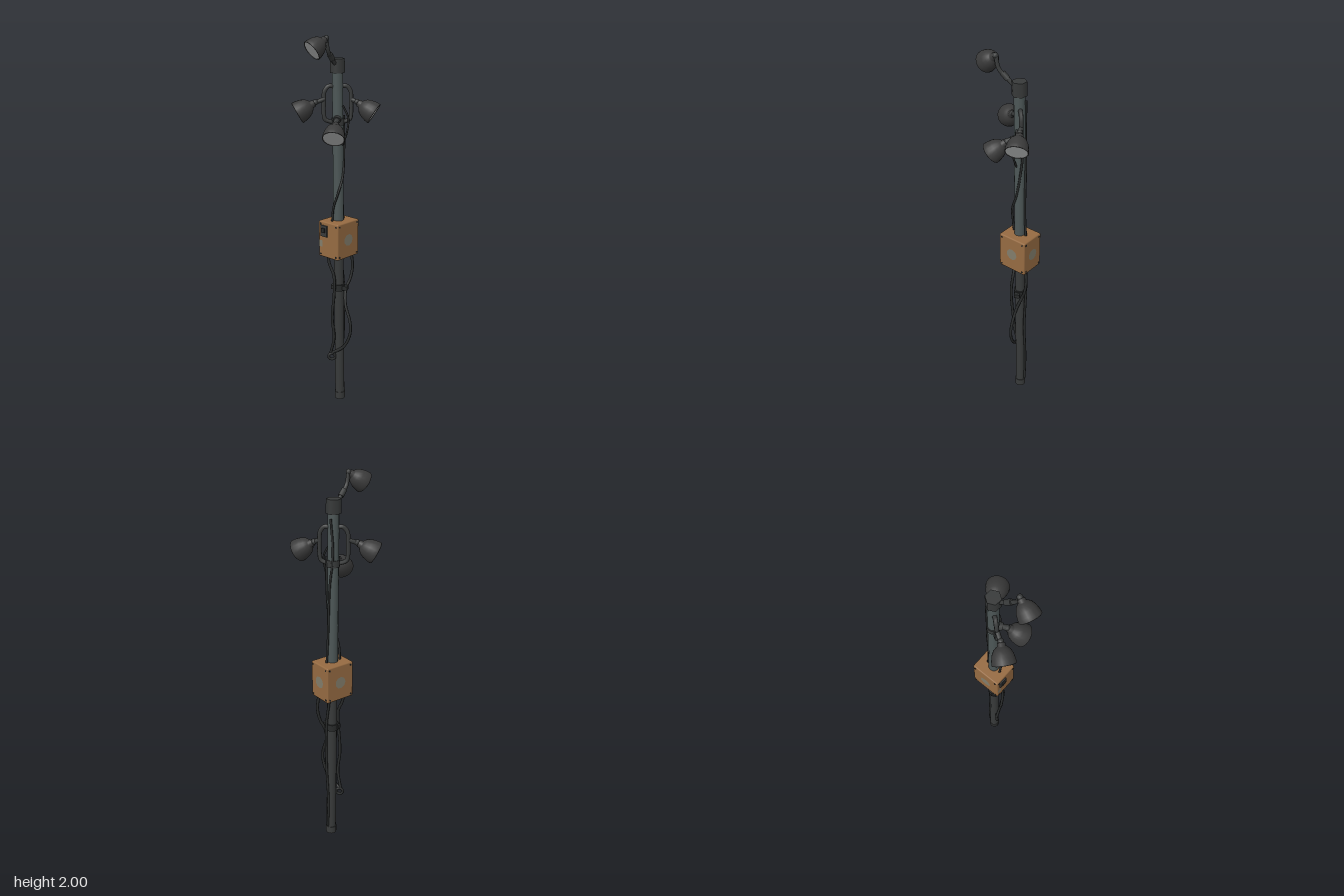
import * as THREE from 'three';
import { RoundedBoxGeometry } from 'three/addons/geometries/RoundedBoxGeometry.js';

const V = (a) => new THREE.Vector3(...a);
const mat = (name, color, side = THREE.FrontSide) => {
  const m = new THREE.MeshStandardMaterial({ color, side });
  m.name = name;
  return m;
};

export function createModel() {
  const M = {
    head: mat('charcoal metal', 0x3a3a3a, THREE.DoubleSide),
    upper: mat('grey green steel', 0x4d5757),
    lower: mat('dark steel', 0x383a3a),
    cable: mat('black rubber', 0x282a2a),
    box: mat('brown paint', 0x966b42),
    patch: mat('worn grey', 0x827d6b),
    lens: mat('pale glass', 0xb4b6b6),
  };
  const model = new THREE.Group();
  model.name = 'floodlightPole';

  const add = (name, geo, material, parent = model, pos = [0, 0, 0]) => {
    const m = new THREE.Mesh(geo, material);
    m.name = name;
    m.position.set(...pos);
    parent.add(m);
    return m;
  };
  // Cylinder between two points
  const rod = (name, a, b, ra, rb, material, sides = 12) => {
    const A = V(a), B = V(b), d = B.clone().sub(A);
    const m = add(name, new THREE.CylinderGeometry(rb, ra, d.length(), sides), material);
    m.position.copy(A).add(B).multiplyScalar(0.5);
    m.quaternion.setFromUnitVectors(new THREE.Vector3(0, 1, 0), d.normalize());
    return m;
  };
  const tube = (name, pts, r, material, steps = 40) => add(name,
    new THREE.TubeGeometry(new THREE.CatmullRomCurve3(pts.map(V), false, 'centripetal'), steps, r, 7), material);

  // Slightly leaning pole: axis position at a given height
  const axis = (y) => [0.01 - 0.0054 * y, y, -0.078 + 0.012 * y];
  const section = (name, y0, y1, r, material, sides) => rod(name, axis(y0), axis(y1), r, r, material, sides);
  section('lowerPole', 0, 0.9, 0.026, M.lower);
  section('upperPole', 0.9, 1.83, 0.028, M.upper);
  section('poleFoot', 0, 0.04, 0.029, M.lower);
  section('poleCap', 1.81, 1.88, 0.037, M.lower, 6);
  section('poleClamp', 0.655, 0.69, 0.034, M.cable);
  section('lampClamp', 1.55, 1.585, 0.033, M.lower);
  add('clampBolt', new THREE.BoxGeometry(0.09, 0.022, 0.03), M.cable, model, [0.012, 0.672, -0.062]);

  // Control box, turned on the pole
  const box = new THREE.Group();
  box.name = 'controlBox';
  box.position.set(0.005, 0.952, -0.067);
  box.rotation.y = -0.45;
  model.add(box);
  const [w, h, d] = [0.137, 0.195, 0.163];
  add('boxBody', new RoundedBoxGeometry(w, h, d, 2, 0.007), M.box, box);
  // Each face: outward turn, half width, distance from centre
  const faces = [
    { turn: 0, half: w / 2, out: d / 2 }, { turn: Math.PI / 2, half: d / 2, out: w / 2 },
    { turn: Math.PI, half: w / 2, out: d / 2 }, { turn: -Math.PI / 2, half: d / 2, out: w / 2 },
  ];
  faces.forEach((f, i) => {
    const side = new THREE.Group();
    side.name = 'boxSide';
    side.rotation.y = f.turn;
    box.add(side);
    for (const sx of [-1, 1]) for (const sy of [-1, 1]) {
      const s = add('screw', new THREE.CylinderGeometry(0.005, 0.005, 0.004, 8), M.cable, side,
        [sx * (f.half - 0.015), sy * (h / 2 - 0.015), f.out]);
      s.rotation.x = Math.PI / 2;
    }
    if (i > 0) add('wornPatch', new THREE.CircleGeometry(0.032, 9), M.patch, side, [0, 0, f.out + 0.001]);
    else {
      add('switchPlate', new THREE.BoxGeometry(0.044, 0.06, 0.009), M.lower, side, [-0.027, 0.048, f.out + 0.003]);
      add('switchKnob', new THREE.BoxGeometry(0.02, 0.024, 0.009), M.cable, side, [-0.027, 0.052, f.out + 0.009]);
      add('wornLabel', new THREE.PlaneGeometry(0.026, 0.035), M.patch, side, [-0.052, -0.025, f.out + 0.001]);
    }
  });

  // Bowl lamp with collar and lens, aimed along dir from its pivot
  const profile = [[0, -0.006], [0.012, -0.006], [0.014, 0.008], [0.019, 0.01], [0.019, 0.022], [0.025, 0.025],
    [0.039, 0.038], [0.049, 0.058], [0.055, 0.083], [0.057, 0.102], [0.054, 0.105], [0.051, 0.101]]
    .map(([r, y]) => new THREE.Vector2(r, y));
  const lamp = (name, pivot, dir, size = 1) => {
    const g = new THREE.Group();
    g.name = name;
    g.position.set(...pivot);
    g.quaternion.setFromUnitVectors(new THREE.Vector3(0, 1, 0), V(dir).normalize());
    g.scale.setScalar(size);
    add('lampBowl', new THREE.LatheGeometry(profile, 20), M.head, g);
    add('lampLens', new THREE.CircleGeometry(0.052, 20), M.lens, g, [0, 0.101, 0]).rotation.x = -Math.PI / 2;
    add('lampJoint', new THREE.SphereGeometry(0.015, 10, 8), M.lower, g);
    model.add(g);
  };
  lamp('topLamp', [-0.02, 1.984, 0.062], [-0.55, -0.57, 0.6], 0.94);
  lamp('rightSideLamp', [0.095, 1.667, -0.08], [0.84, -0.54, -0.05]);
  lamp('leftSideLamp', [-0.098, 1.667, 0], [-0.8, -0.5, 0.36]);
  lamp('frontLamp', [0.01, 1.572, 0.002], [0.1, -0.65, 0.73]);

  // Arms carrying the lamps
  tube('topArm', [[-0.002, 1.845, -0.04], [-0.01, 1.885, 0.005], [-0.016, 1.925, 0.046], [-0.02, 1.984, 0.06]], 0.01, M.lower, 16);
  rod('topArmSleeve', [-0.009, 1.88, 0], [-0.014, 1.907, 0.028], 0.014, 0.014, M.lower);
  rod('rightArm', [0.062, 1.68, -0.08], [0.098, 1.665, -0.08], 0.011, 0.011, M.lower);
  rod('leftArm', [-0.06, 1.682, -0.026], [-0.1, 1.665, 0], 0.011, 0.011, M.lower);
  rod('frontArm', [0.002, 1.59, -0.06], [0.01, 1.572, 0.002], 0.014, 0.014, M.lower);
  rod('frontArmSleeve', [0.004, 1.585, -0.045], [0.007, 1.578, -0.02], 0.02, 0.02, M.lower);

  // Bent tube brackets either side of the pole
  for (const [name, ox, oz] of [['leftBracket', -0.062, -0.027], ['rightBracket', 0.064, -0.08]]) {
    const at = (t, y) => [ox * t, y, -0.057 + (oz + 0.057) * t];
    tube(name, [at(0.2, 1.742), at(0.65, 1.745), at(0.95, 1.72), at(1, 1.67), at(1, 1.61), at(0.9, 1.58), at(0.2, 1.562)],
      0.011, M.lower);
  }

  // Cables above the box
  tube('upperCable', [[-0.02, 1.04, -0.03], [-0.012, 1.12, -0.024], [0.012, 1.2, -0.027], [0.03, 1.28, -0.05],
    [0.031, 1.4, -0.07], [0.028, 1.52, -0.08], [0.03, 1.6, -0.07]], 0.006, M.cable);
  tube('lampCable', [[0.03, 1.45, -0.05], [0.055, 1.52, -0.04], [0.058, 1.59, -0.05], [0.03, 1.65, -0.05]], 0.005, M.cable, 20);
  tube('rearCable', [[0.02, 1.04, -0.1], [0.015, 1.2, -0.092], [0.005, 1.45, -0.092], [-0.01, 1.62, -0.085], [0, 1.79, -0.088]],
    0.006, M.cable);

  // Cables hanging below the box
  tube('leftCable', [[-0.045, 0.87, -0.03], [-0.035, 0.81, -0.03], [-0.01, 0.75, -0.026], [-0.005, 0.66, -0.018],
    [-0.018, 0.5, -0.024], [-0.012, 0.38, -0.038], [-0.035, 0.28, -0.05]], 0.008, M.cable);
  tube('rightCable', [[0.06, 0.87, -0.11], [0.068, 0.78, -0.115], [0.058, 0.71, -0.105], [0.04, 0.66, -0.09],
    [0.045, 0.58, -0.06], [0.078, 0.48, -0.04], [0.078, 0.41, -0.036], [0.04, 0.33, -0.042], [-0.03, 0.28, -0.05]], 0.008, M.cable, 60);
  tube('rearLowerCable', [[0, 0.87, -0.1], [0.02, 0.7, -0.105], [0.025, 0.45, -0.1], [0.012, 0.2, -0.105], [0.018, 0.05, -0.103]],
    0.007, M.cable);
  const coil = add('cableCoil', new THREE.TorusGeometry(0.018, 0.008, 7, 16), M.cable, model, [-0.028, 0.26, -0.05]);
  coil.rotation.y = 0.3;
  return model;
}
